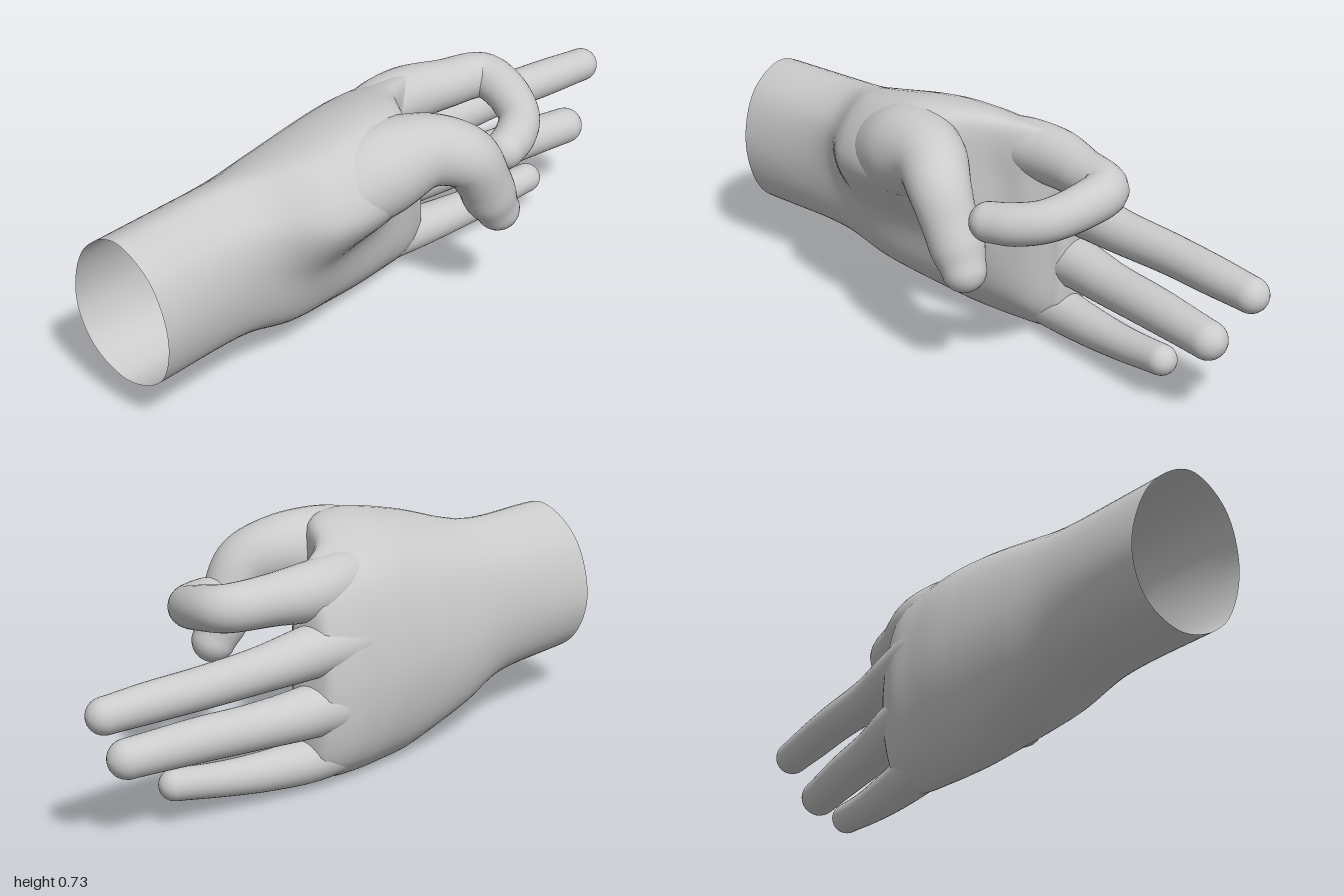
import * as THREE from 'three';

const material = new THREE.MeshStandardMaterial({ color: 0xcccccc, side: THREE.DoubleSide });

// Skin a list of equal-length closed rings of Vector3.
function loft(name, rings) {
  const n = rings[0].length, pos = [], idx = [];
  for (const ring of rings) for (const p of ring) pos.push(p.x, p.y, p.z);
  for (let i = 0; i < rings.length - 1; i++) {
    for (let j = 0; j < n; j++) {
      const a = i * n + j, c = i * n + (j + 1) % n, b = a + n, d = c + n;
      idx.push(a, b, c, b, d, c);
    }
  }
  const geo = new THREE.BufferGeometry();
  geo.setAttribute('position', new THREE.Float32BufferAttribute(pos, 3));
  geo.setIndex(idx);
  geo.computeVertexNormals();
  const mesh = new THREE.Mesh(geo, material);
  mesh.name = name;
  return mesh;
}

// Round-tipped digit swept through joints given as [x, y, z, radius].
function digit(name, joints, steps = 64, sides = 32) {
  const path = new THREE.CatmullRomCurve3(joints.map(([x, y, z]) => new THREE.Vector3(x, y, z)));
  const radius = new THREE.SplineCurve(joints.map((j) => new THREE.Vector2(j[3], 0)));
  const frames = path.computeFrenetFrames(steps);
  const rings = [];
  const addRing = (i, r, push) => {
    const centre = path.getPointAt(i / steps).addScaledVector(frames.tangents[i], push);
    rings.push(Array.from({ length: sides }, (_, j) => {
      const a = (j / sides) * Math.PI * 2;
      return centre.clone()
        .addScaledVector(frames.normals[i], r * Math.cos(a))
        .addScaledVector(frames.binormals[i], -r * Math.sin(a));
    }));
  };
  for (let i = 0; i <= steps; i++) addRing(i, radius.getPoint(path.getUtoTmapping(i / steps)).x, 0);
  const tip = joints[joints.length - 1][3], caps = 8;
  for (let k = 1; k <= caps; k++) {
    const a = (k / caps) * Math.PI / 2;
    addRing(steps, Math.max(tip * Math.cos(a), 1e-4), tip * Math.sin(a));
  }
  return loft(name, rings);
}

// Wrist and palm: closed outlines of [y, z], from the lower edge round the palm side to the back.
// The fourth point of each outline follows the fleshy mound under the thumb.
function palm() {
  const sections = [
    [-1.0, [[.125, -.14], [.195, .01], [.365, .065], [.54, .01], [.61, -.12], [.52, -.265], [.32, -.33], [.18, -.275]]],
    [-0.62, [[.112, -.14], [.185, 0], [.36, .055], [.54, .04], [.63, -.09], [.54, -.25], [.34, -.31], [.175, -.265]]],
    [-0.42, [[.055, -.15], [.13, -.01], [.32, .075], [.52, .185], [.68, .06], [.6, -.215], [.34, -.315], [.12, -.27]]],
    [-0.2, [[.005, -.17], [.1, -.045], [.305, .035], [.53, .205], [.722, .1], [.645, -.2], [.35, -.313], [.09, -.27]]],
    [-0.08, [[0, -.17], [.1, -.05], [.29, .005], [.52, .1], [.715, .07], [.645, -.21], [.345, -.31], [.085, -.265]]],
    [0.02, [[.002, -.17], [.1, -.06], [.28, -.025], [.5, -.03], [.69, -.04], [.635, -.215], [.34, -.3], [.08, -.26]]],
    [0.12, [[.01, -.165], [.09, -.08], [.28, -.06], [.5, -.065], [.678, -.1], [.62, -.215], [.335, -.288], [.08, -.25]]],
    [0.2, [[.03, -.16], [.09, -.11], [.28, -.105], [.5, -.105], [.66, -.12], [.605, -.2], [.33, -.258], [.085, -.22]]],
  ];
  const tracks = sections[0][1].map((_, k) => new THREE.CatmullRomCurve3(sections.map(([x, outline], s) => {
    const [y, z] = outline[k];
    const slant = s === 0 ? 0.03 * (0.61 - y) / 0.49 : 0; // slightly oblique wrist opening
    return new THREE.Vector3(x + slant, y, z);
  })));
  const rings = [];
  const steps = 70, sides = 64;
  for (let i = 0; i <= steps; i++) {
    const outline = new THREE.CatmullRomCurve3(tracks.map((t) => t.getPoint(i / steps)), true);
    rings.push(outline.getPoints(sides).slice(0, sides));
  }
  // Rounded closure between the fingers
  const last = rings[rings.length - 1];
  const centre = last.reduce((s, p) => s.add(p), new THREE.Vector3()).divideScalar(sides);
  for (const [scale, push] of [[.93, .012], [.75, .02], [.4, .024], [.001, .025]]) {
    rings.push(last.map((p) => {
      const q = p.clone().sub(centre).multiplyScalar(scale).add(centre);
      q.x += push;
      return q;
    }));
  }
  return loft('palmAndWrist', rings);
}

export function createModel() {
  const hand = new THREE.Group();
  hand.name = 'hand';
  hand.add(palm());

  // Thumb rising out of its mound and curling down in front of the palm
  hand.add(digit('thumb', [
    [-.46, .49, -.03, .08], [-.34, .53, .05, .125], [-.2, .583, .1, .142], [-.05, .61, .165, .11],
    [.045, .57, .228, .094], [.1, .48, .243, .083], [.133, .41, .244, .081], [.162, .355, .25, .067],
  ]));

  // Index finger bent round to meet the thumb
  hand.add(digit('indexFinger', [
    [-.16, .56, -.13, .05], [.0, .595, -.135, .08], [.16, .592, -.138, .088], [.3, .59, -.102, .076],
    [.43, .588, -.055, .07], [.432, .572, .03, .067], [.38, .54, .14, .063], [.3, .522, .192, .063],
    [.228, .515, .214, .06],
  ]));

  // Three straight fingers
  hand.add(digit('middleFinger', [
    [-.16, .43, -.18, .06], [.03, .435, -.2, .085], [.2, .43, -.182, .08], [.4, .42, -.155, .067],
    [.62, .42, -.13, .061], [.8, .42, -.1, .058], [.943, .418, -.077, .053],
  ]));
  hand.add(digit('ringFinger', [
    [-.16, .27, -.18, .06], [.03, .255, -.2, .09], [.2, .248, -.185, .08], [.4, .245, -.14, .069],
    [.6, .25, -.095, .065], [.828, .25, -.043, .058],
  ]));
  hand.add(digit('littleFinger', [
    [-.14, .15, -.18, .05], [.02, .11, -.175, .08], [.17, .085, -.162, .07], [.35, .087, -.125, .06],
    [.5, .1, -.09, .052], [.655, .122, -.055, .047],
  ]));
  return hand;
}
